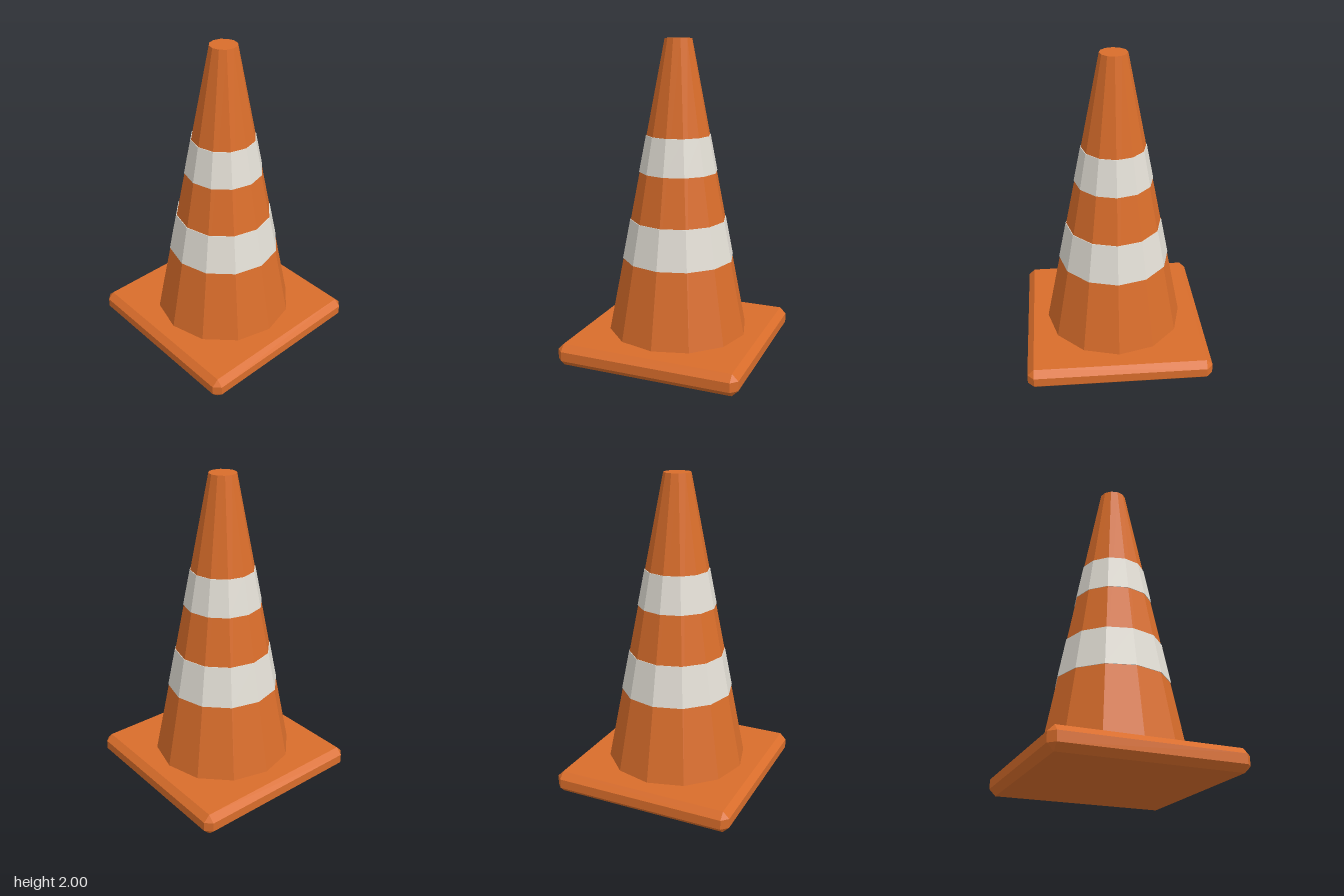
import * as THREE from 'three';
import { ConvexGeometry } from 'three/addons/geometries/ConvexGeometry.js';

const SIDES = 12;
const BASE_TOP = 0.14, TOP = 2, R_BOTTOM = 0.45, R_TOP = 0.085;

// Cone radius at a given height
const radiusAt = (y) => R_BOTTOM + (R_TOP - R_BOTTOM) * (y - BASE_TOP) / (TOP - BASE_TOP);

// Box with every edge and corner cut flat, built from its 24 corner points
function chamferedBox(w, h, d, c) {
  const points = [];
  for (const sx of [-1, 1]) for (const sy of [-1, 1]) for (const sz of [-1, 1]) {
    const x = w / 2, y = h / 2, z = d / 2;
    points.push(
      new THREE.Vector3(sx * x, sy * (y - c), sz * (z - c)),
      new THREE.Vector3(sx * (x - c), sy * y, sz * (z - c)),
      new THREE.Vector3(sx * (x - c), sy * (y - c), sz * z),
    );
  }
  return new ConvexGeometry(points);
}

// Faceted cone section between two heights, optionally proud of the cone
function coneSection(y0, y1, offset = 0) {
  const g = new THREE.CylinderGeometry(radiusAt(y1) + offset, radiusAt(y0) + offset, y1 - y0, SIDES);
  return g.translate(0, (y0 + y1) / 2, 0);
}

export function createModel() {
  const orange = new THREE.MeshStandardMaterial({ color: 0xd96d2b, flatShading: true });
  orange.name = 'orange';
  const white = new THREE.MeshStandardMaterial({ color: 0xe2ded5, flatShading: true });
  white.name = 'white';

  const group = new THREE.Group();
  group.name = 'trafficCone';
  const add = (name, geometry, material) => {
    const mesh = new THREE.Mesh(geometry, material);
    mesh.name = name;
    group.add(mesh);
    return mesh;
  };

  // Square foot
  add('base', chamferedBox(1.18, BASE_TOP, 1.18, 0.04), orange).position.y = BASE_TOP / 2;
  // Tapered body
  add('cone', coneSection(BASE_TOP, TOP), orange);
  // Reflective bands
  add('lowerBand', coneSection(0.62, 0.875, 0.004), white);
  add('upperBand', coneSection(1.18, 1.41, 0.004), white);

  return group;
}
